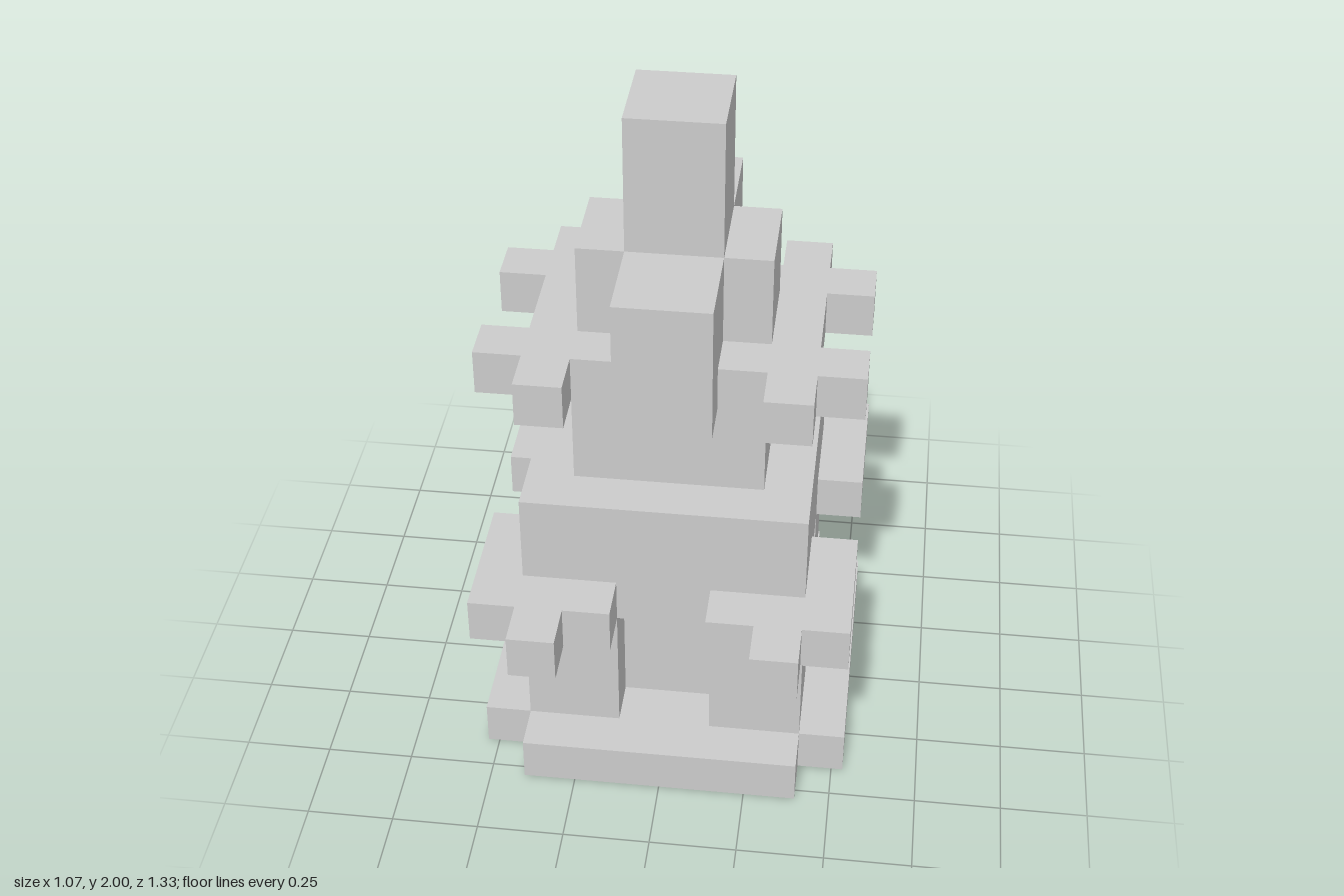
import * as THREE from 'three';

const U = 2 / 15; // edge of one block; all sizes below are in blocks

export function createModel() {
  const model = new THREE.Group();
  const material = new THREE.MeshStandardMaterial({ color: 0xcccccc, flatShading: true });

  // Extrudes a plan outline of [x, z] corners from height y0 to y1
  const slab = (name, outline, y0, y1, sx = 1, sz = 1) => {
    const shape = new THREE.Shape(outline.map(([x, z]) => new THREE.Vector2(x * sx * U, -z * sz * U)));
    const geometry = new THREE.ExtrudeGeometry(shape, { depth: (y1 - y0) * U, bevelEnabled: false });
    geometry.rotateX(-Math.PI / 2);
    const mesh = new THREE.Mesh(geometry, material);
    mesh.name = name;
    mesh.position.y = y0 * U;
    model.add(mesh);
  };

  const rect = (x0, x1, z0, z1) => [[x0, z0], [x1, z0], [x1, z1], [x0, z1]];

  // Plus-shaped plan: a rectangle a x b crossed with a rectangle c x d (half sizes, a > c, d > b)
  const cross = (a, b, c, d) => [
    [a, -b], [a, b], [c, b], [c, d], [-c, d], [-c, b],
    [-a, b], [-a, -b], [-c, -b], [-c, -d], [c, -d], [c, -b],
  ];

  // Base plate with notched corners
  slab('base', cross(4, 3, 3, 4), 0, 1);

  // Recessed core between the corner pillars
  slab('core', rect(-2, 2, -2, 2), 1, 4);

  // Main body and the narrower storey above it
  slab('body', rect(-3, 3, -3, 3), 4, 7);
  slab('upperBody', rect(-2, 2, -2, 2), 7, 9);

  // Crossed blocks and the spire
  slab('crown', cross(2, 1, 1, 3), 9, 12);
  slab('spire', rect(-1, 1, -1, 1), 12, 15);

  // Corner pillars and the hooked eaves wrapping each body corner
  const lowerEave = [[1, 3], [3, 3], [3, 1], [4, 1], [4, 4], [3, 4], [3, 5], [2, 5], [2, 4], [1, 4]];
  for (const sx of [1, -1]) {
    for (const sz of [1, -1]) {
      slab('pillar', rect(1, 3, 1, 3), 1, 4, sx, sz);
      slab('lowerEave', lowerEave, 4, 5, sx, sz);
    }
  }

  // Long side eaves with a cross at each end
  const half = [[3, 1], [4, 1], [4, 2], [3, 2], [3, 3], [2, 3], [2, 2], [1, 2], [1, 1], [2, 1]];
  const upperEave = [...half, ...half.map(([x, z]) => [x, -z]).reverse()];
  for (const sx of [1, -1]) slab('upperEave', upperEave, 9, 10, sx);

  return model;
}
